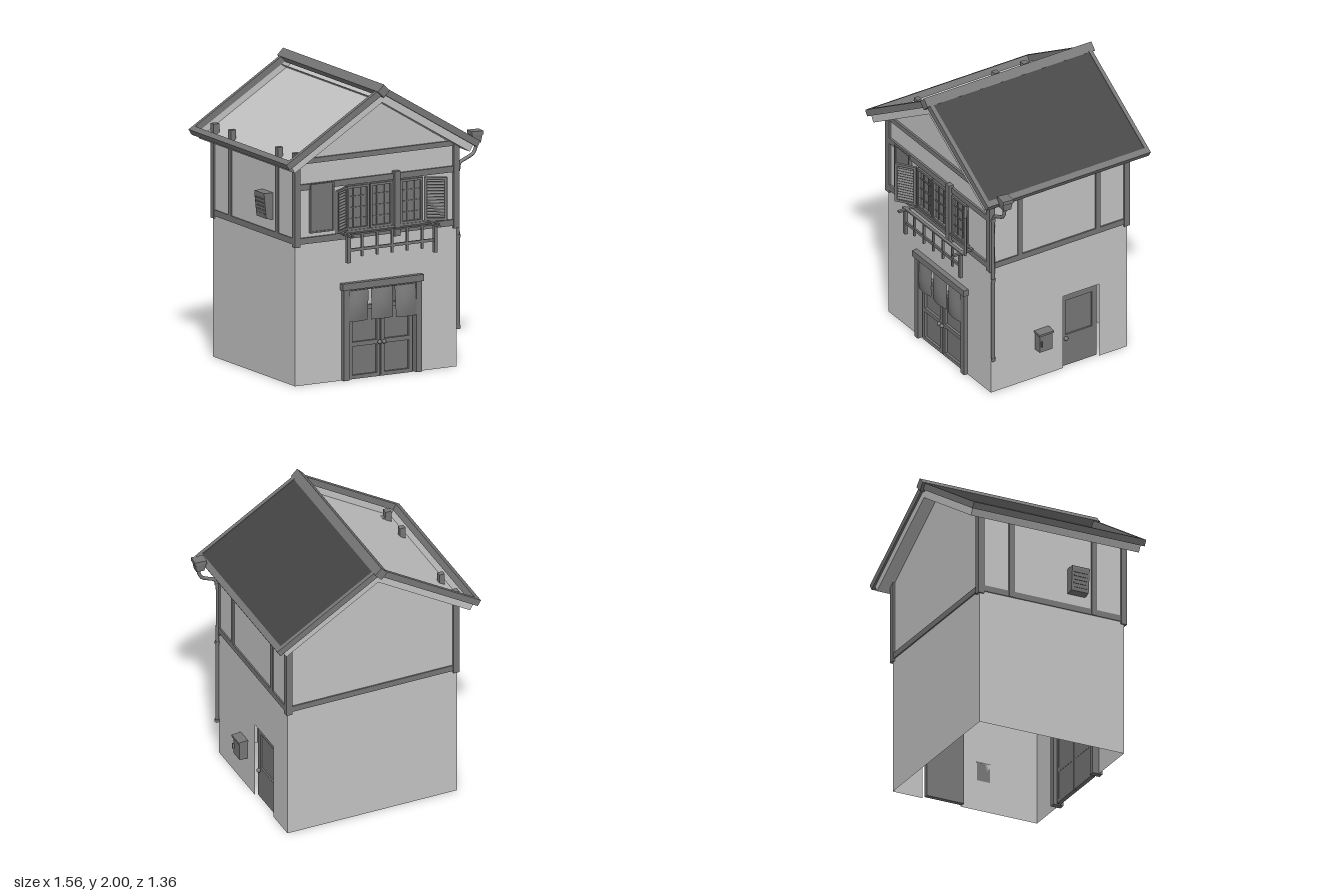
import * as THREE from 'three';

const mat = (name, color) => {
  const m = new THREE.MeshStandardMaterial({ color, side: THREE.DoubleSide });
  m.name = name;
  return m;
};

export function createModel() {
  const house = new THREE.Group();
  house.name = 'house';
  const plaster = mat('plaster', 0xc2c2c2);
  const timber = mat('timber', 0x767676);
  const tile = mat('roofTile', 0x444444);

  const add = (name, geo, m, x = 0, y = 0, z = 0, parent = house) => {
    const mesh = new THREE.Mesh(geo, m);
    mesh.name = name;
    mesh.position.set(x, y, z);
    parent.add(mesh);
    return mesh;
  };
  // Box given by its limits on each axis
  const box = (name, m, x0, x1, y0, y1, z0, z1, parent = house) =>
    add(name, new THREE.BoxGeometry(x1 - x0, y1 - y0, z1 - z0), m,
      (x0 + x1) / 2, (y0 + y1) / 2, (z0 + z1) / 2, parent);
  const sheet = (points) => new THREE.ShapeGeometry(new THREE.Shape(points.map(p => new THREE.Vector2(...p))));

  const CX = -0.036, L = -0.655, R = 0.583, F = 0.525, B = -0.553;
  const EAVE = 1.494, APEX = 1.872;

  // Walls, with openings for the front and side doors
  add('frontWall', sheet([[L, 0], [-0.26, 0], [-0.26, 0.62], [0.265, 0.62], [0.265, 0], [R, 0],
    [R, EAVE], [CX, APEX], [L, EAVE]]), plaster, 0, 0, F);
  const back = add('backWall', sheet([[-R, 0], [-L, 0], [-L, EAVE], [-CX, APEX], [-R, EAVE]]), plaster, 0, 0, B);
  back.rotation.y = Math.PI;
  const right = add('rightWall', sheet([[-F, 0], [0.045, 0], [0.045, 0.555], [0.33, 0.555], [0.33, 0],
    [-B, 0], [-B, EAVE], [-F, EAVE]]), plaster, R);
  right.rotation.y = Math.PI / 2;
  const left = add('leftWall', sheet([[B, 0], [F, 0], [F, EAVE], [B, EAVE]]), plaster, L);
  left.rotation.y = -Math.PI / 2;

  // Timber frame of the upper storey
  for (const [x0, x1] of [[-0.665, -0.622], [0.553, 0.596]]) {
    box('frontCornerPost', timber, x0, x1, 0.94, 1.58, 0.5, 0.543);
    box('backCornerPost', timber, x0, x1, 0.94, 1.58, -0.567, -0.524);
    for (const z of [0.298, -0.318]) box('sidePost', timber, x0, x1 - 0.003, 0.96, 1.58, z - 0.018, z + 0.018);
    box('sideBeam', timber, x0 + 0.003, x1 - 0.003, 0.958, 1.0, -0.56, 0.54);
  }
  box('lowerFrontBeam', timber, -0.66, 0.59, 0.958, 1.0, 0.505, 0.54);
  box('middleFrontBeam', timber, -0.66, 0.59, 1.322, 1.363, 0.505, 0.54);
  box('gableBeam', timber, -0.66, 0.585, 1.5, 1.535, 0.505, 0.54);
  box('lowerBackBeam', timber, -0.66, 0.59, 0.958, 1.0, -0.562, -0.53);
  box('frontMiddlePost', timber, 0.09, 0.132, 0.94, 1.38, 0.51, 0.56);

  // Roof parts: u runs down the slope from the ridge, v is out from it
  const A = Math.atan(0.607), c = Math.cos(A), s = Math.sin(A);
  const slope = (name, m, side, u0, u1, v0, v1, z0, z1) => {
    const u = (u0 + u1) / 2, v = (v0 + v1) / 2;
    const mesh = add(name, new THREE.BoxGeometry(u1 - u0, v1 - v0, z1 - z0), m,
      CX + side * (u * c + v * s), 1.93 - u * s + v * c, (z0 + z1) / 2);
    mesh.rotation.z = -side * A;
  };
  for (const side of [1, -1]) {
    slope('frontBargeboard', timber, side, 0, 0.842, 0, 0.045, 0.598, 0.627);
    slope('backBargeboard', timber, side, 0, 0.842, 0, 0.045, -0.66, -0.633);
    slope('eaveBoard', timber, side, 0.8, 0.842, 0, 0.045, -0.655, 0.622);
    slope('soffit', plaster, side, -0.025, 0.814, -0.05, -0.046, -0.645, 0.61);
    slope('soffitEaveEdge', plaster, side, 0.81, 0.814, -0.05, 0, -0.645, 0.61);
    for (const z of [-0.645, 0.606]) slope('soffitGableEdge', plaster, side, 0, 0.814, -0.05, 0, z, z + 0.004);
  }
  slope('roofCovering', tile, 1, 0, 0.81, 0.033, 0.04, -0.64, 0.605);
  const ridge = box('ridgeBeam', timber, -0.032, 0.032, -0.032, 0.032, -0.68, 0.645);
  ridge.position.set(-0.043, 1.955, -0.018);
  ridge.rotation.z = Math.PI / 4;

  // Frame of four bars around an opening, in the front plane
  const frame = (name, x0, x1, y0, y1, z0, z1, w, parent = house) => {
    box(name, timber, x0, x0 + w, y0, y1, z0, z1, parent);
    box(name, timber, x1 - w, x1, y0, y1, z0, z1, parent);
    box(name, timber, x0 + w, x1 - w, y0, y0 + w, z0, z1, parent);
    box(name, timber, x0 + w, x1 - w, y1 - w, y1, z0, z1, parent);
  };

  // Front entrance
  box('doorPostRight', timber, -0.297, -0.255, 0, 0.62, 0.48, 0.553);
  box('doorPostLeft', timber, 0.26, 0.302, 0, 0.62, 0.48, 0.553);
  box('doorLintel', timber, -0.31, 0.312, 0.615, 0.66, 0.48, 0.562);
  for (const [x0, x1, k] of [[-0.242, -0.002, -0.016], [0.004, 0.244, 0.018]]) {
    box('doorLeaf', timber, x0, x1, 0, 0.49, 0.497, 0.507);
    frame('doorLeafFrame', x0, x1, 0, 0.49, 0.495, 0.525, 0.026);
    box('doorLeafRail', timber, x0, x1, 0.22, 0.25, 0.495, 0.525);
    add('doorKnob', new THREE.SphereGeometry(0.015, 12, 8), timber, k, 0.234, 0.542);
  }

  // Hanging door curtain in three billowing strips
  const rod = add('curtainRod', new THREE.CylinderGeometry(0.006, 0.006, 0.515, 8), timber, 0.002, 0.608, 0.54);
  rod.rotation.z = Math.PI / 2;
  [[-0.18, 0.155, 0.395], [0, 0.165, 0.395], [0.178, 0.16, 0.39]].forEach(([x, w, y0], i) => {
    const g = new THREE.PlaneGeometry(w, 0.612 - y0, 8, 6), p = g.attributes.position;
    for (let j = 0; j < p.count; j++) {
      const t = 0.5 - p.getY(j) / (0.612 - y0);
      p.setZ(j, 0.028 * Math.sin(t * 2.4) * Math.cos(p.getX(j) / w * 2.6) + (i - 1) * 0.004 * t);
      p.setX(j, p.getX(j) + (i - 1) * 0.006 * t);
    }
    g.computeVertexNormals();
    add('doorCurtain', g, timber, x, (0.612 + y0) / 2, 0.54);
  });

  // Side door
  box('sideDoor', timber, 0.53, 0.55, 0, 0.555, -0.325, -0.047);
  for (const [y0, y1, z0, z1] of [[0, 0.235, -0.325, -0.047], [0.5, 0.55, -0.325, -0.047],
    [0.235, 0.5, -0.325, -0.29], [0.235, 0.5, -0.08, -0.047]]) {
    box('sideDoorFrame', timber, 0.54, 0.562, y0, y1, z0, z1);
  }
  add('sideDoorKnob', new THREE.SphereGeometry(0.015, 12, 8), timber, 0.573, 0.212, -0.077);

  // Letter box beside the door
  box('letterBox', timber, 0.583, 0.64, 0.22, 0.35, 0.075, 0.175);
  const lid = box('letterBoxLid', timber, 0.583, 0.65, 0.348, 0.364, 0.068, 0.182);
  lid.rotation.z = -0.06;
  box('letterBoxHandle', timber, 0.64, 0.655, 0.265, 0.305, 0.158, 0.166);

  // Front windows with glazing bars
  for (const x0 of [-0.27, -0.09, 0.142]) {
    const x1 = x0 + 0.173;
    box('windowPane', timber, x0, x1, 1.015, 1.315, 0.526, 0.53);
    frame('windowSash', x0, x1, 1.015, 1.315, 0.526, 0.547, 0.016);
    for (const f of [1, 2]) {
      const x = x0 + 0.173 * f / 3;
      box('windowBar', timber, x - 0.003, x + 0.003, 1.03, 1.3, 0.528, 0.538);
    }
    for (const f of [1, 2, 3]) {
      const y = 1.015 + 0.075 * f;
      box('windowBar', timber, x0, x1, y - 0.003, y + 0.003, 0.528, 0.538);
    }
  }
  box('windowSill', timber, -0.28, 0.33, 1.0, 1.016, 0.52, 0.552);

  // Open louvred shutters
  for (const [x, side] of [[-0.277, -1], [0.322, 1]]) {
    const shutter = new THREE.Group();
    shutter.name = 'shutter';
    shutter.position.set(x, 0, 0.55);
    shutter.rotation.y = -side * 0.6;
    const x0 = side > 0 ? 0 : -0.152, x1 = x0 + 0.152;
    frame('shutterFrame', x0, x1, 1.025, 1.318, -0.007, 0.011, 0.017, shutter);
    for (let i = 0; i < 13; i++) {
      const slat = box('shutterSlat', timber, x0 + 0.015, x1 - 0.015, 0, 0.004, -0.01, 0.01, shutter);
      slat.position.y = 1.052 + i * 0.02;
      slat.rotation.x = 0.7;
    }
    house.add(shutter);
  }

  // Shutter case
  box('shutterCase', timber, -0.545, -0.37, 1.03, 1.357, 0.526, 0.543);
  frame('shutterCaseFrame', -0.547, -0.368, 1.028, 1.359, 0.526, 0.55, 0.01);

  // Hanging rail under the windows
  box('railTop', timber, -0.33, 0.395, 1.0, 1.01, 0.605, 0.628);
  box('railBottom', timber, -0.305, 0.37, 0.89, 0.91, 0.612, 0.625);
  for (const x of [-0.302, 0.363]) {
    box('railArm', timber, x - 0.01, x + 0.01, 0.994, 1.008, 0.52, 0.677);
    box('railEndPost', timber, x - 0.013, x + 0.013, 0.815, 1.0, 0.608, 0.632);
  }
  for (let i = 0; i < 5; i++) {
    const x = -0.196 + i * 0.115;
    box('railBaluster', timber, x - 0.007, x + 0.007, 0.85, 1.0, 0.612, 0.626);
  }

  // Drainpipe, collars and rain hopper
  const path = new THREE.CatmullRomCurve3([[0.6, 0.25], [0.6, 0.8], [0.6, 1.33], [0.615, 1.378], [0.665, 1.402],
    [0.715, 1.428], [0.735, 1.47], [0.735, 1.51]].map(([x, y]) => new THREE.Vector3(x, y, 0.517)));
  add('drainpipe', new THREE.TubeGeometry(path, 60, 0.012, 10), timber);
  for (const y of [0.265, 0.88, 1.345]) add('pipeCollar', new THREE.CylinderGeometry(0.016, 0.016, 0.02, 10), timber, 0.6, y, 0.517);
  const hopper = new THREE.Group();
  hopper.name = 'rainHopper';
  hopper.position.set(0.735, 0, 0.51);
  hopper.rotation.y = -0.09;
  const funnel = new THREE.CylinderGeometry(0.052, 0.04, 0.06, 4, 1).rotateY(Math.PI / 4);
  add('hopperBowl', funnel.toNonIndexed(), timber, 0, 1.53, 0, hopper).geometry.computeVertexNormals();
  box('hopperRim', timber, -0.043, 0.043, 1.555, 1.58, -0.038, 0.038, hopper);
  house.add(hopper);

  // Louvred vent hood on the left wall
  const hood = new THREE.ExtrudeGeometry(new THREE.Shape([[-0.655, 1.075], [-0.705, 1.085], [-0.722, 1.245],
    [-0.722, 1.258], [-0.655, 1.258]].map(p => new THREE.Vector2(...p))), { depth: 0.13, bevelEnabled: false });
  add('ventHood', hood, timber, 0, 0, 0.105);
  for (let i = 0; i < 5; i++) {
    const y = 1.11 + i * 0.026;
    box('ventSlat', timber, -0.712 - i * 0.003, -0.69, y, y + 0.008, 0.12, 0.22);
  }
  return house;
}
